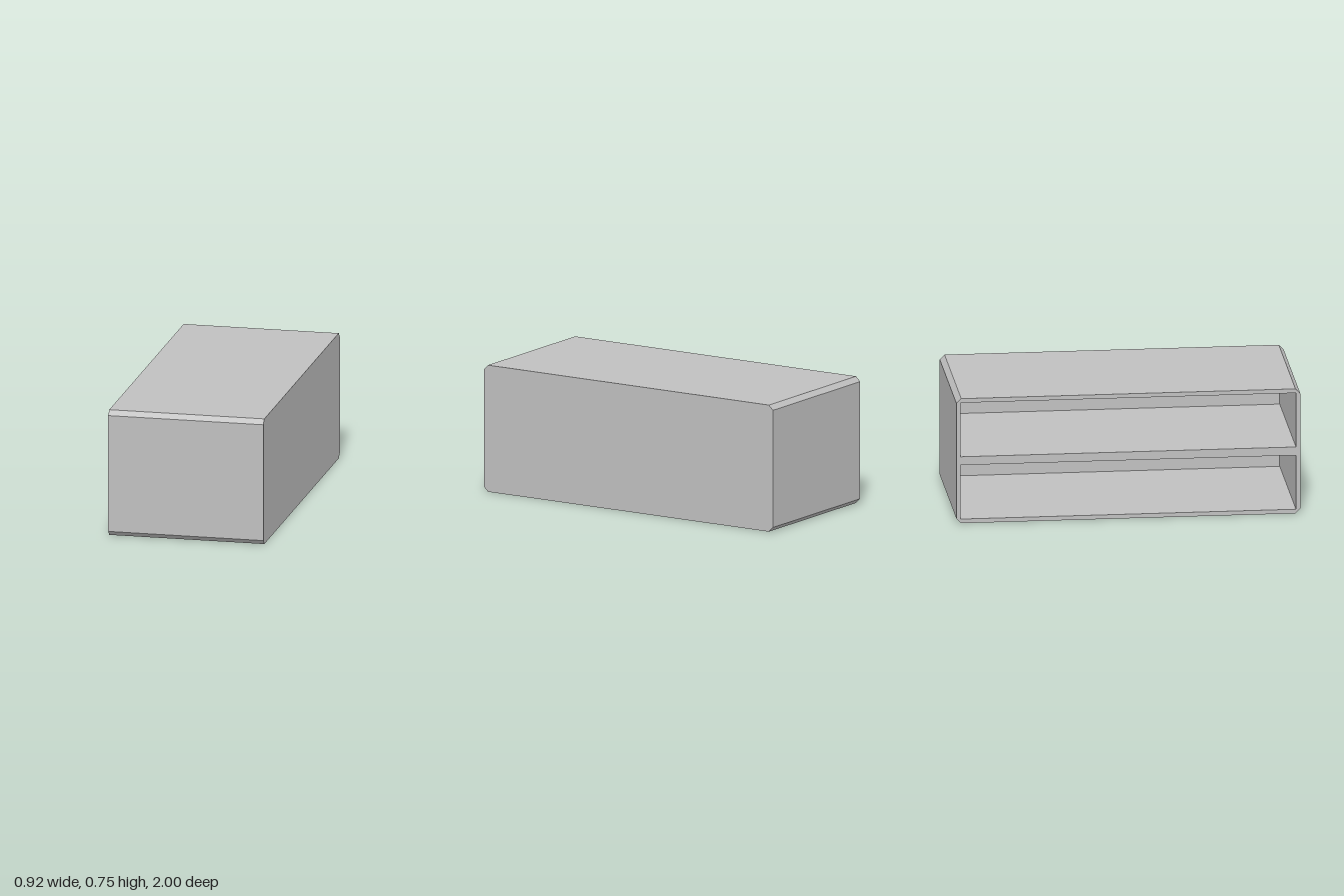
import * as THREE from 'three';

const WIDTH = 0.92, HEIGHT = 0.75, LENGTH = 2;
const WALL = 0.025, CHAMFER = 0.028, SHELF = 0.05;

// Long rectangle with four cut corners
function outline() {
  const h = LENGTH / 2, c = CHAMFER;
  return new THREE.Shape([
    [-h + c, 0], [h - c, 0], [h, c], [h, HEIGHT - c],
    [h - c, HEIGHT], [-h + c, HEIGHT], [-h, HEIGHT - c], [-h, c],
  ].map(([u, v]) => new THREE.Vector2(u, v)));
}

// Rectangular opening between two heights
function opening(y0, y1) {
  const h = LENGTH / 2 - WALL;
  return new THREE.Path([
    new THREE.Vector2(-h, y0), new THREE.Vector2(-h, y1),
    new THREE.Vector2(h, y1), new THREE.Vector2(h, y0),
  ]);
}

// Extrudes a profile along +x, starting at x0
function extrudeAcross(name, shape, x0, depth, material) {
  const geometry = new THREE.ExtrudeGeometry(shape, { depth, bevelEnabled: false });
  geometry.rotateY(Math.PI / 2);
  geometry.translate(x0, 0, 0);
  const mesh = new THREE.Mesh(geometry, material);
  mesh.name = name;
  return mesh;
}

export function createModel() {
  const group = new THREE.Group();
  group.name = 'shelfUnit';
  const grey = new THREE.MeshStandardMaterial({ color: 0xc0c0c0 });
  grey.name = 'light grey';

  // Frame with a middle shelf, open on the -x side
  const frame = outline();
  const middle = HEIGHT / 2;
  frame.holes.push(
    opening(WALL, middle - SHELF / 2),
    opening(middle + SHELF / 2, HEIGHT - WALL),
  );
  group.add(extrudeAcross('frameAndShelf', frame, -WIDTH / 2, WIDTH - WALL, grey));

  // Solid panel closing the +x side
  group.add(extrudeAcross('backPanel', outline(), WIDTH / 2 - WALL, WALL, grey));

  return group;
}
